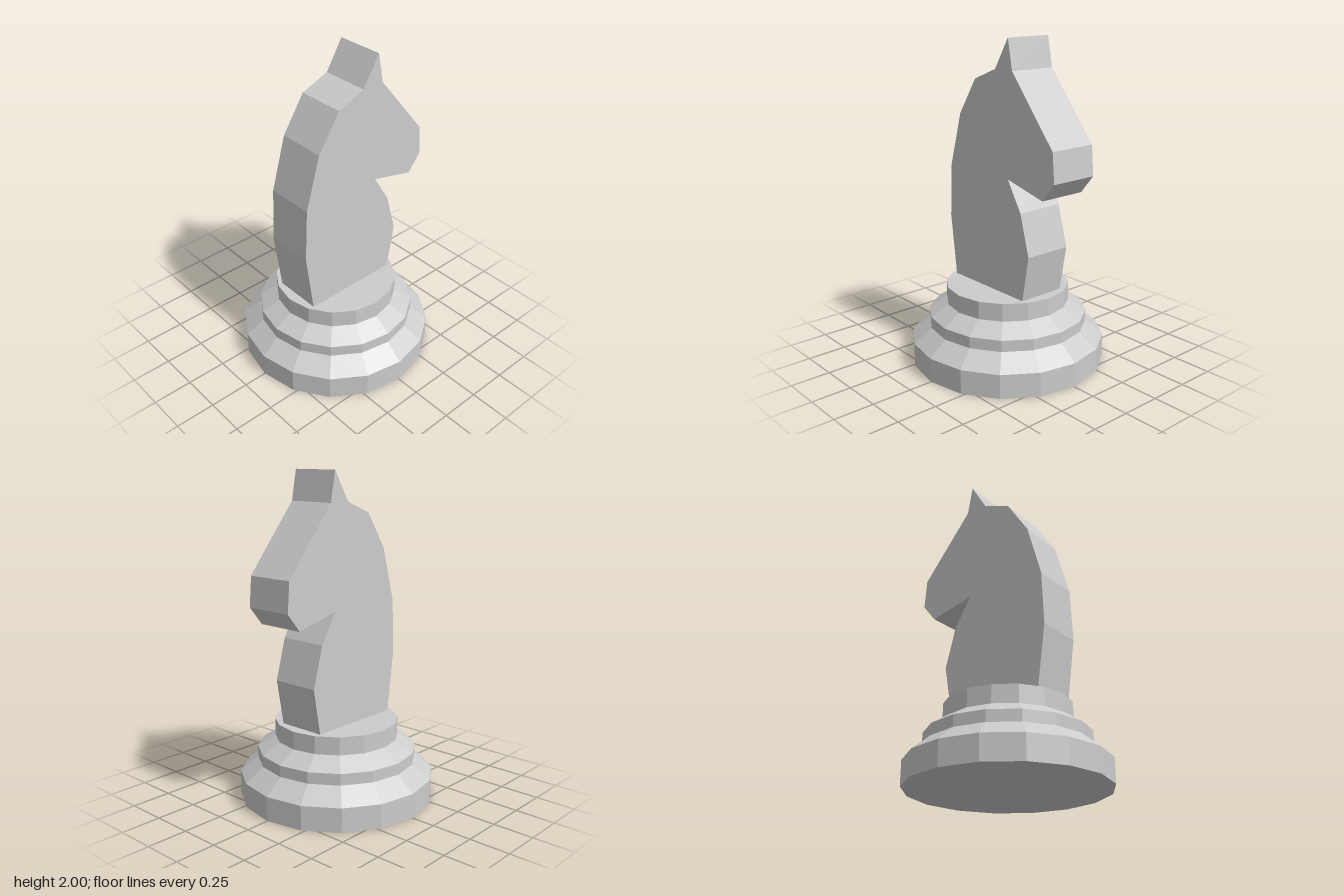
import * as THREE from 'three';

export function createModel() {
  const model = new THREE.Group();
  const stone = new THREE.MeshStandardMaterial({ color: 0xcccccc });
  stone.name = 'lightGrey';
  stone.flatShading = true;

  // Stepped sixteen-sided base, closed at both ends
  const profile = [
    [0, 0], [0.6, 0], [0.6, 0.15], [0.49, 0.24],
    [0.49, 0.31], [0.38, 0.38], [0.38, 0.49], [0, 0.49],
  ].map(([r, y]) => new THREE.Vector2(r, y));
  const base = new THREE.Mesh(new THREE.LatheGeometry(profile, 16), stone);
  base.name = 'base';
  model.add(base);

  // Horse head and neck: a flat silhouette with constant thickness
  const outline = [
    [-0.315, 0.49], [0.31, 0.49], [0.36, 0.77], [0.29, 1.02], [0.18, 1.2], // chest and throat
    [0.47, 1.13], [0.56, 1.24], [0.545, 1.42], // jaw and muzzle
    [0.215, 1.82], [0.18, 2], [0.07, 1.82], // brow and ear
    [-0.11, 1.75], [-0.255, 1.53], [-0.35, 1.2], [-0.365, 0.87], // mane and back
  ].map(([x, y]) => new THREE.Vector2(x, y));
  const depth = 0.305;
  const geometry = new THREE.ExtrudeGeometry(new THREE.Shape(outline), { depth, bevelEnabled: false });
  geometry.translate(0, 0, -depth / 2);
  const head = new THREE.Mesh(geometry, stone);
  head.name = 'horseHead';
  model.add(head);

  return model;
}
